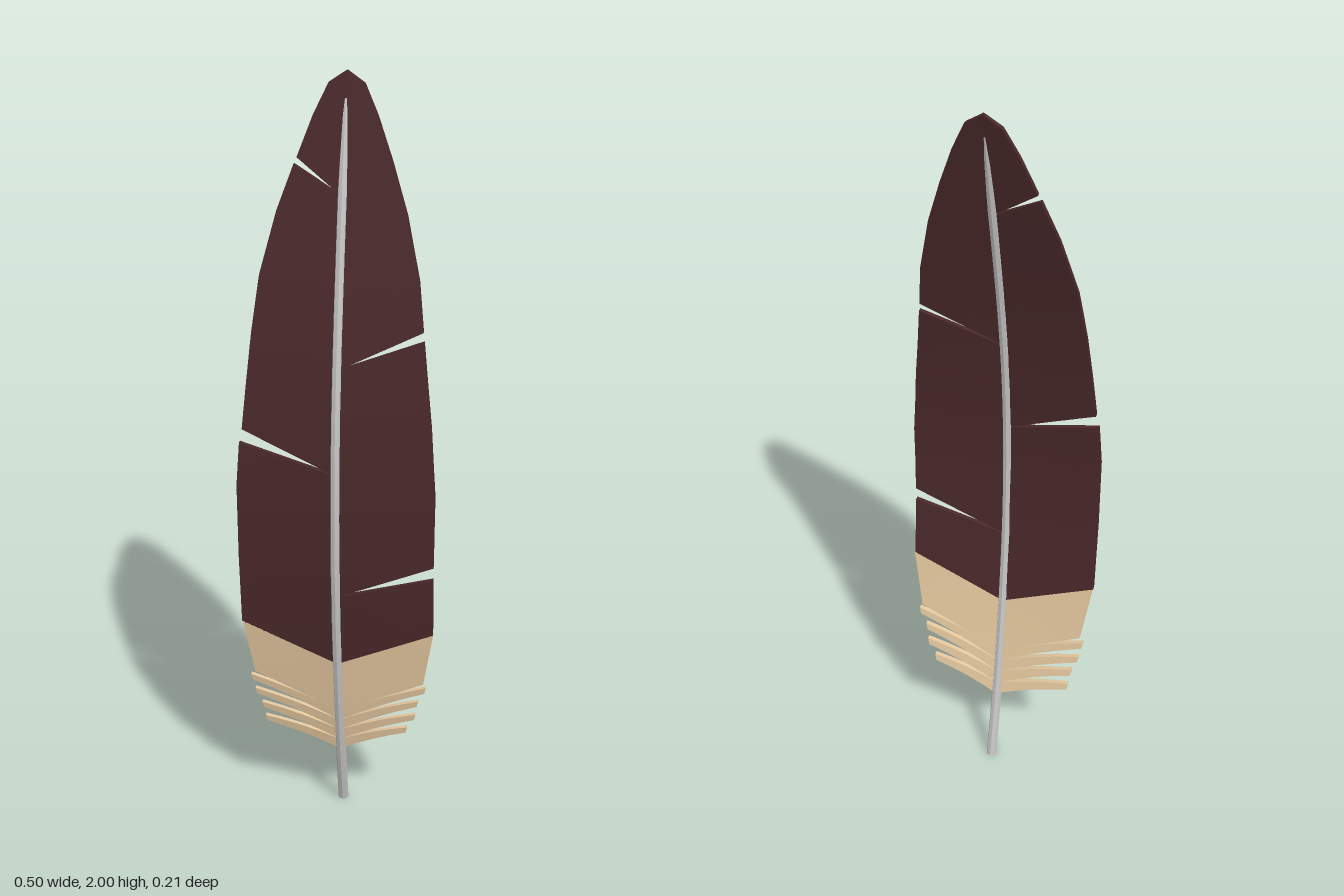
import * as THREE from 'three';
import { toCreasedNormals } from 'three/addons/utils/BufferGeometryUtils.js';

// Depth of the curved feather by height
const bend = new THREE.CubicInterpolant(
  [0, 0.2, 0.4, 0.6, 0.8, 1, 1.2, 1.4, 1.6, 1.8, 2],
  [-0.052, -0.003, 0.036, 0.066, 0.085, 0.088, 0.074, 0.043, 0, -0.048, -0.098], 1);
const depth = (y) => bend.evaluate(THREE.MathUtils.clamp(y, 0, 2))[0];
const lerp = THREE.MathUtils.lerp;
const THICK = 0.012;

// Thin slab lofted through barb lines [y at shaft, x at rim, y at rim]
function vane(name, side, rows, material, bow = 0) {
  const spans = rows.length - 1;
  const geo = new THREE.BoxGeometry(1, 1, THICK, 4, spans * 2);
  const p = geo.attributes.position;
  for (let i = 0; i < p.count; i++) {
    const u = 0.5 + side * p.getX(i);
    const v = (p.getY(i) + 0.5) * spans;
    const k = Math.min(Math.floor(v + 1e-6), spans - 1);
    const [y0, x, y1] = rows[k].map((a, j) => lerp(a, rows[k + 1][j], v - k));
    const y = lerp(y0, y1, u) + bow * Math.sin(Math.PI * u);
    p.setXYZ(i, side * x * u, y, depth(y) - 0.06 * x * u + p.getZ(i));
  }
  const mesh = new THREE.Mesh(toCreasedNormals(geo, 0.4), material);
  mesh.name = name;
  return mesh;
}

export function createModel() {
  const dark = new THREE.MeshStandardMaterial({ color: 0x4a292a });
  dark.name = 'dark brown vane';
  const cream = new THREE.MeshStandardMaterial({ color: 0xe5c89f });
  cream.name = 'cream down';
  const grey = new THREE.MeshStandardMaterial({ color: 0xc4c4c4 });
  grey.name = 'grey shaft';

  const feather = new THREE.Group();
  feather.name = 'feather';

  // Shaft: tapered rod bent along the curve
  const rod = new THREE.CylinderGeometry(1, 1, 1.94, 8, 28);
  const p = rod.attributes.position;
  for (let i = 0; i < p.count; i++) {
    const y = p.getY(i) + 0.97;
    const r = y < 1.75 ? lerp(0.0138, 0.0128, y / 1.75) : lerp(0.0128, 0.0068, (y - 1.75) / 0.19);
    p.setXYZ(i, p.getX(i) * r, y, depth(y) + p.getZ(i) * r);
  }
  const shaft = new THREE.Mesh(toCreasedNormals(rod, 0.5), grey);
  shaft.name = 'shaft';
  feather.add(shaft);

  // Dark vane pieces, separated by slits that narrow towards the shaft
  const tip = [[1.78, 0.077, 1.9], [1.91, 0.043, 1.972], [2, 0.001, 2]];
  const leftPieces = [
    [[0.493, 0.247, 0.6], [0.705, 0.246, 0.77]],
    [[0.705, 0.246, 0.805], [0.93, 0.246, 1.0], [1.1, 0.232, 1.18], [1.315, 0.207, 1.39]],
    [[1.315, 0.204, 1.413], [1.4, 0.19, 1.53], [1.54, 0.155, 1.68], [1.66, 0.115, 1.8], ...tip],
  ];
  const rightPieces = [
    [[0.493, 0.25, 0.6], [0.93, 0.25, 1.0], [1.05, 0.242, 1.115]],
    [[1.05, 0.235, 1.15], [1.28, 0.213, 1.39], [1.4, 0.196, 1.53], [1.57, 0.158, 1.68], [1.72, 0.12, 1.787]],
    [[1.72, 0.113, 1.803], ...tip],
  ];
  leftPieces.forEach((rows, i) => feather.add(vane(`leftVane${i + 1}`, 1, rows, dark)));
  rightPieces.forEach((rows, i) => feather.add(vane(`rightVane${i + 1}`, -1, rows, dark)));

  // Cream base and its loose barbs
  const reach = { 1: [0.18, 0.203, 0.21, 0.23], '-1': [0.203, 0.21, 0.226, 0.235] };
  for (const side of [1, -1]) {
    const label = side > 0 ? 'left' : 'right';
    feather.add(vane(`${label}Base`, side, [[0.334, 0.223, 0.437], [0.493, 0.248, 0.6]], cream));
    reach[side].forEach((x, i) => {
      const root = 0.194 + i * 0.035;
      const end = 0.265 + i * 0.047;
      feather.add(vane(`${label}Barb${i + 1}`, side,
        [[root, x - 0.004, end], [root + 0.035, x, end + 0.019]], cream, 0.006));
    });
  }
  return feather;
}
